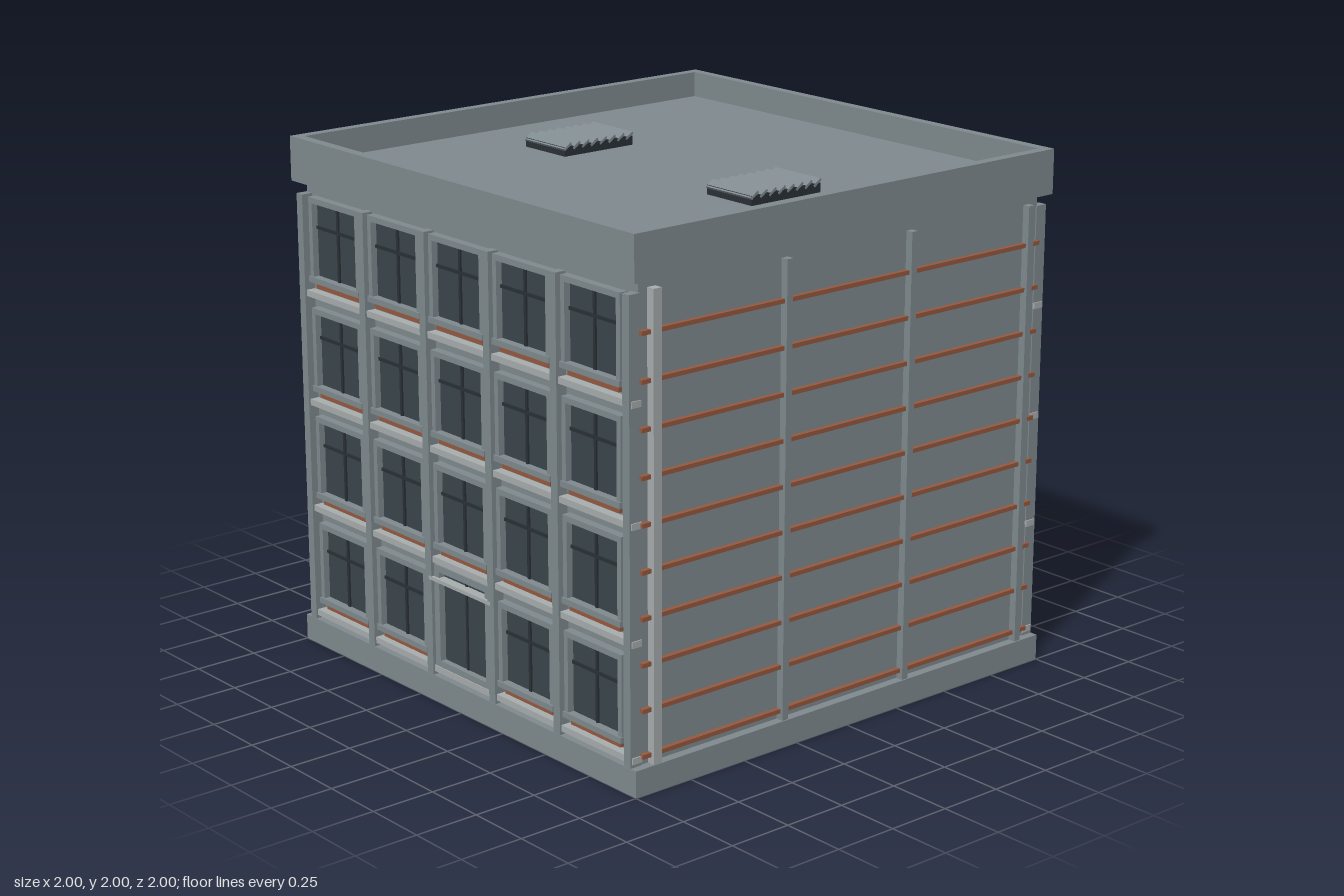
import * as THREE from 'three';

const material = (color, side = THREE.FrontSide) => new THREE.MeshStandardMaterial({ color, side });

export function createModel() {
  const model = new THREE.Group();
  const wall = material(0x808b8f);
  const trim = material(0xa8adae);
  const glass = material(0x3a464c);
  const bar = material(0x293136);
  const brick = material(0x96593f);

  // Box given by its extents along each axis
  function box(parent, name, mat, x0, x1, y0, y1, z0, z1) {
    const mesh = new THREE.Mesh(new THREE.BoxGeometry(x1 - x0, y1 - y0, z1 - z0), mat);
    mesh.position.set((x0 + x1) / 2, (y0 + y1) / 2, (z0 + z1) / 2);
    mesh.name = name;
    parent.add(mesh);
    return mesh;
  }

  // Rectangular ring with an opening, facing +z
  function ring(name, mat, w, h, iw, ih, depth) {
    const rect = (Type, a, b) => new Type([
      new THREE.Vector2(-a / 2, -b / 2), new THREE.Vector2(a / 2, -b / 2),
      new THREE.Vector2(a / 2, b / 2), new THREE.Vector2(-a / 2, b / 2),
    ]);
    const shape = rect(THREE.Shape, w, h);
    shape.holes.push(rect(THREE.Path, iw, ih));
    const mesh = new THREE.Mesh(new THREE.ExtrudeGeometry(shape, { depth, bevelEnabled: false }), mat);
    mesh.name = name;
    return mesh;
  }

  // Main masses
  box(model, 'base', wall, -1, 1, 0, 0.1, -1, 1);
  box(model, 'body', wall, -0.965, 0.965, 0.1, 1.83, -0.955, 0.955);
  box(model, 'roofSlab', wall, -0.97, 0.97, 1.83, 1.9, -0.97, 0.97);
  const parapet = ring('parapet', wall, 2, 2, 1.92, 1.92, 0.17);
  parapet.rotation.x = -Math.PI / 2;
  parapet.position.y = 1.83;
  model.add(parapet);

  // Window with frame, glazing bars and brick sill
  function makeWindow(x, y) {
    const g = new THREE.Group();
    g.name = 'window';
    box(g, 'glass', glass, -0.14, 0.14, -0.142, 0.142, 0, 0.008);
    g.add(ring('frame', wall, 0.316, 0.326, 0.274, 0.282, 0.033));
    box(g, 'mullion', bar, -0.006, 0.006, -0.141, 0.141, 0.004, 0.015);
    box(g, 'transom', bar, -0.137, 0.137, 0.041, 0.053, 0.004, 0.015);
    box(g, 'ledge', wall, -0.16, 0.16, -0.163, -0.141, 0.01, 0.04);
    box(g, 'brickSill', brick, -0.137, 0.137, -0.188, -0.163, 0, 0.022);
    g.position.set(x, y, 0.955);
    return g;
  }

  // Entrance with frame, glazing and thin canopy
  function makeDoor() {
    const g = new THREE.Group();
    g.name = 'door';
    box(g, 'doorGlass', glass, -0.14, 0.14, 0.16, 0.51, 0, 0.008);
    const frame = ring('doorFrame', wall, 0.335, 0.4, 0.276, 0.348, 0.033);
    frame.position.y = 0.335;
    g.add(frame);
    box(g, 'doorMullion', bar, -0.005, 0.005, 0.16, 0.51, 0.004, 0.013);
    box(g, 'canopy', trim, -0.185, 0.185, 0.473, 0.487, 0, 0.045);
    g.position.z = 0.955;
    return g;
  }

  // Window facade and ribbed side wall, repeated with a half turn
  for (const [i, label] of ['front', 'back'].entries()) {
    const half = new THREE.Group();
    half.name = label + 'HalfFacades';
    half.rotation.y = i * Math.PI;

    for (const x of [-0.952, -0.563, -0.188, 0.188, 0.563, 0.952])
      box(half, 'pilaster', wall, x - 0.018, x + 0.018, 0.1, 1.787, 0.95, 0.999);
    for (const y of [0.125, 0.553, 0.978, 1.407])
      box(half, 'floorBand', trim, -0.975, 0.975, y - 0.012, y + 0.012, 0.95, 0.992);

    for (let row = 0; row < 4; row++) {
      for (const x of [-0.752, -0.374, 0, 0.374, 0.752]) {
        if (row === 0 && x === 0) half.add(makeDoor());
        else half.add(makeWindow(x, 0.335 + row * 0.428));
      }
    }

    for (let k = 0; k < 10; k++) {
      const y = 0.134 + k * 0.1685;
      box(half, 'sideBrickRib', brick, 0.96, 0.984, y - 0.008, y + 0.008, -0.955, 0.955);
    }
    for (const z of [-0.897, -0.298, 0.3])
      box(half, 'sidePost', wall, 0.96, 0.995, 0.1, 1.8, z - 0.014, z + 0.014);
    box(half, 'cornerPost', trim, 0.96, 0.998, 0.1, 1.8, 0.88, 0.916);
    model.add(half);
  }

  // Louvred roof vents
  for (const x of [-0.525, 0.525]) {
    const vent = new THREE.Group();
    vent.name = 'roofVent';
    box(vent, 'ventBox', bar, -0.119, 0.119, 1.9, 1.935, -0.165, 0.165);
    for (let k = 0; k < 8; k++) {
      const slat = box(vent, 'ventSlat', wall, -0.12, 0.12, 1.932, 1.942, -0.02, 0.02);
      slat.position.z = -0.15 + k * 0.043;
      slat.rotation.x = 0.6;
    }
    vent.position.x = x;
    model.add(vent);
  }
  return model;
}
